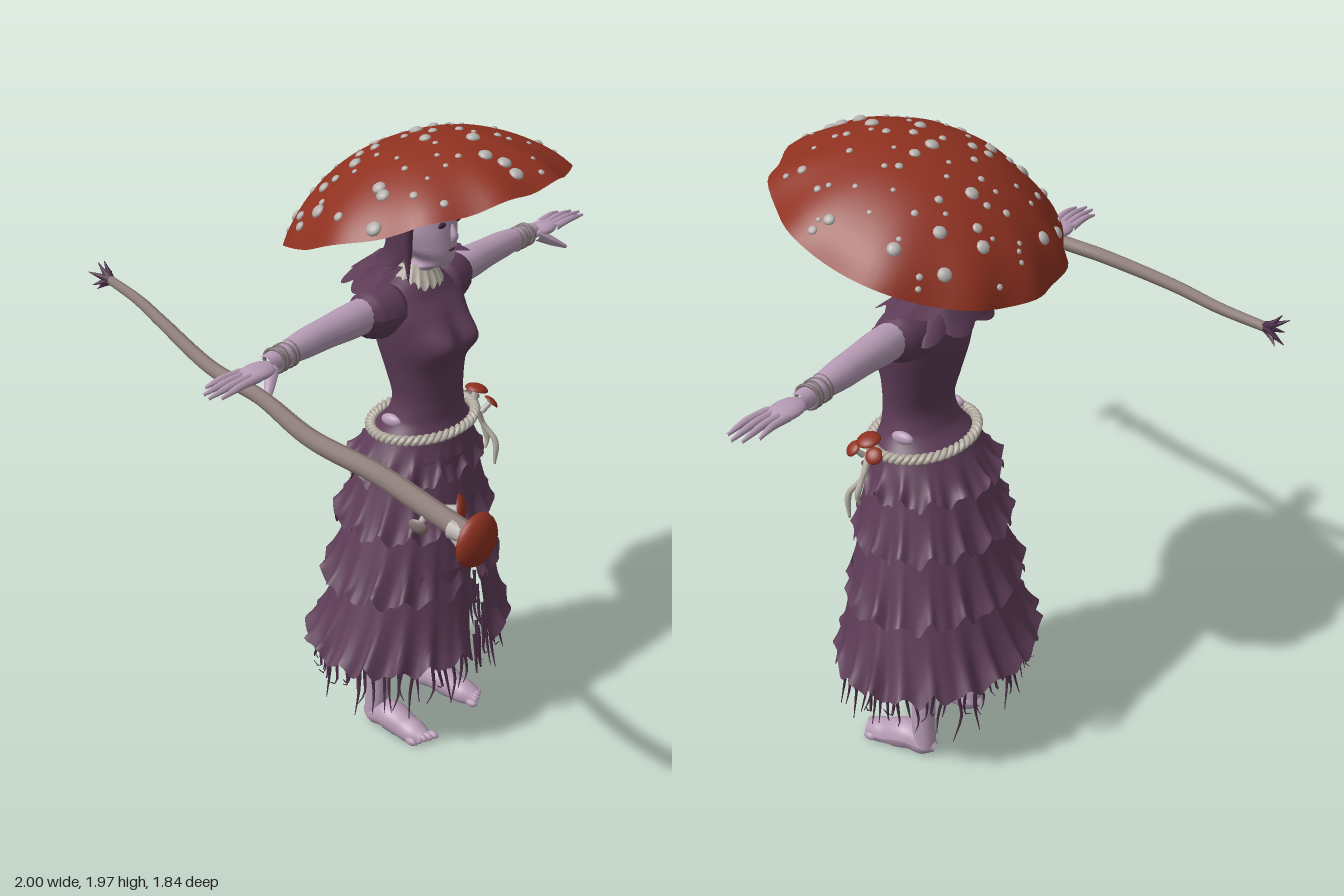
import * as THREE from 'three';
import { mergeGeometries, mergeVertices } from 'three/addons/utils/BufferGeometryUtils.js';

const CX = 0.105; // the figure's own centre line
const TAU = Math.PI * 2;
const V = (x, y, z) => new THREE.Vector3(x, y, z);
const lerp = THREE.MathUtils.lerp;
const mat = (name, color, side = THREE.FrontSide) => {
  const m = new THREE.MeshStandardMaterial({ color, side });
  m.name = name;
  return m;
};

// Grid surface from f(u, v); u runs around, v from bottom to top
function surface(f, nu, nv) {
  const pos = [], idx = [];
  for (let j = 0; j <= nv; j++) for (let i = 0; i <= nu; i++) pos.push(...f(i / nu, j / nv));
  for (let j = 0; j < nv; j++) for (let i = 0; i < nu; i++) {
    const a = j * (nu + 1) + i, b = a + nu + 1;
    idx.push(a, a + 1, b + 1, a, b + 1, b);
  }
  let g = new THREE.BufferGeometry();
  g.setAttribute('position', new THREE.Float32BufferAttribute(pos, 3));
  g.setIndex(idx);
  g = mergeVertices(g, 1e-5);
  g.computeVertexNormals();
  return g;
}

// Smooth upright body through rows of [y, centre z, half width, half depth], optionally open at the front
function loft(rows, { nu = 32, nv = 28, gap = 0, bump = () => 0 } = {}) {
  const centre = new THREE.CatmullRomCurve3(rows.map(r => V(0, r[0], r[1])));
  const size = new THREE.CatmullRomCurve3(rows.map(r => V(r[2], r[3], 0)));
  return surface((u, v) => {
    const a = lerp(gap, TAU - gap, u), c = centre.getPoint(v), s = size.getPoint(v);
    const x = Math.sin(a) * s.x;
    return [CX + x, c.y, c.z + Math.cos(a) * s.y + (Math.cos(a) > 0 ? bump(x, c.y) : 0)];
  }, nu, nv);
}

// Tube along points whose radius follows a list
function taper(points, radii, segs = 16, sides = 12) {
  const curve = new THREE.CatmullRomCurve3(points);
  const g = new THREE.TubeGeometry(curve, segs, 1, sides, false);
  const p = g.attributes.position, q = V();
  for (let i = 0; i < p.count; i++) {
    const t = Math.floor(i / (sides + 1)) / segs, c = curve.getPointAt(t);
    const k = t * (radii.length - 1), n = Math.min(Math.floor(k), radii.length - 2);
    q.fromBufferAttribute(p, i).sub(c).multiplyScalar(lerp(radii[n], radii[n + 1], k - n)).add(c);
    p.setXYZ(i, q.x, q.y, q.z);
  }
  g.computeVertexNormals();
  return g;
}

const blob = (x, y, z, rx, ry, rz, n = 16) =>
  new THREE.SphereGeometry(1, n, Math.max(6, n / 2)).scale(rx, ry, rz).translate(x, y, z);

export function createModel() {
  const root = new THREE.Group();
  let seed = 7;
  const rnd = () => (seed = (seed * 16807) % 2147483647) / 2147483647;

  const red = mat('capRed', 0x8f3120), pale = mat('paleGrey', 0xb4afac, THREE.DoubleSide);
  const dress = mat('dressPurple', 0x5f3d58, THREE.DoubleSide), hair = mat('hairPurple', 0x563650, THREE.DoubleSide);
  const skin = mat('lilacSkin', 0xb79cb6), rope = mat('ropeCream', 0xbab3a8, THREE.DoubleSide);
  const wood = mat('staffWood', 0x8b7b77), band = mat('bandGrey', 0x7b7071), dark = mat('darkPlum', 0x4a2d46);

  const add = (name, geo, m, parent = root) => {
    const mesh = new THREE.Mesh(Array.isArray(geo) ? mergeGeometries(geo) : geo, m);
    mesh.name = name;
    parent.add(mesh);
    return mesh;
  };

  // Wide wavy mushroom hat with a turned-down lip, tipped backwards
  const hat = new THREE.Group();
  hat.name = 'mushroomHat';
  hat.position.set(0.112, 1.745, -0.022);
  hat.rotation.x = -0.323;
  root.add(hat);
  const dome = (a, t, h) => {
    const wave = t ** 4 * Math.sin(a * 11 + Math.sin(a * 2));
    const r = t * (0.418 + 0.007 * wave);
    return [Math.sin(a) * r, h * (1 - t ** 2.3) + 0.005 * wave - 0.02 * t ** 14, Math.cos(a) * r];
  };
  add('hatTop', surface((u, v) => dome(u * TAU, 1 - v, 0.19), 88, 24), red, hat);
  add('hatUnderside', surface((u, v) => dome(-u * TAU, 1 - v, 0.085), 88, 20), pale, hat);
  const spots = [];
  for (let i = 0; i < 84; i++) {
    const t = Math.sqrt((i + 0.5) / 84) * 0.96, [x, y, z] = dome(i * 2.4 + rnd() * 0.6, t, 0.19);
    const r = 0.007 + 0.016 * rnd() ** 2, slope = 0.19 * 2.3 * t ** 1.3 / 0.418;
    const n = V(x / (t * 0.418) * slope, 1, z / (t * 0.418) * slope).normalize();
    const g = blob(0, 0, 0, r, r * 0.6, r, 10);
    g.applyQuaternion(new THREE.Quaternion().setFromUnitVectors(V(0, 1, 0), n));
    spots.push(g.translate(x, y, z));
  }
  add('hatSpots', spots, pale, hat);

  // Head, face and hair
  add('head', loft([[1.46, -0.05, 0.05, 0.05], [1.54, -0.035, 0.045, 0.045], [1.57, 0.012, 0.036, 0.06],
    [1.61, 0.003, 0.064, 0.08], [1.67, -0.004, 0.08, 0.086], [1.73, -0.01, 0.082, 0.088], [1.81, -0.025, 0.074, 0.08]]), skin);
  add('nose', taper([V(CX, 1.7, 0.07), V(CX, 1.67, 0.083), V(CX, 1.648, 0.086), V(CX, 1.64, 0.075)], [0.005, 0.009, 0.013, 0.006]), skin);
  add('lips', blob(CX, 1.617, 0.078, 0.018, 0.007, 0.007), hair);
  for (const s of [-1, 1]) {
    add('eye', blob(CX + s * 0.035, 1.695, 0.071, 0.021, 0.009, 0.006), dark);
    add('brow', taper([V(CX + s * 0.012, 1.715, 0.077), V(CX + s * 0.035, 1.728, 0.071), V(CX + s * 0.062, 1.728, 0.048)],
      [0.006, 0.008, 0.004], 10, 6), hair);
    add('sideLock', taper([V(CX + s * 0.082, 1.79, 0.015), V(CX + s * 0.092, 1.7, -0.005), V(CX + s * 0.09, 1.6, -0.01),
      V(CX + s * 0.1, 1.53, 0)], [0.012, 0.016, 0.014, 0.002]), hair);
  }
  add('hairVeil', loft([[1.47, -0.115, 0.125, 0.1], [1.54, -0.09, 0.105, 0.09], [1.6, -0.045, 0.095, 0.09],
    [1.7, -0.035, 0.096, 0.1], [1.84, -0.03, 0.1, 0.105]], { gap: 1.25 }), hair);
  add('headband', new THREE.TorusGeometry(0.094, 0.011, 8, 40).scale(1, 1, 1.5).rotateX(Math.PI / 2).translate(CX, 1.78, -0.024), rope);

  // Toothed collar
  add('collar', surface((u, v) => {
    const a = u * TAU, r = lerp(0.088, 0.055, v), tooth = (1 - v) * 0.018 * Math.abs(Math.sin(a * 9));
    return [CX + Math.sin(a) * r, lerp(1.505, 1.56, v) - tooth, -0.05 + Math.cos(a) * r * 0.9];
  }, 108, 4), rope);

  // Bodice, with bare skin at the sides of the waist
  add('bodice', loft([[1.04, -0.025, 0.175, 0.14], [1.1, -0.008, 0.137, 0.102], [1.16, -0.002, 0.127, 0.092],
    [1.25, -0.012, 0.142, 0.103], [1.34, -0.022, 0.165, 0.116], [1.42, -0.04, 0.178, 0.106],
    [1.48, -0.06, 0.15, 0.085], [1.53, -0.06, 0.062, 0.062]], {
    nu: 56, nv: 48,
    bump: (x, y) => 0.047 * Math.exp(-(((Math.abs(x) - 0.065) / 0.05) ** 2) - ((y - 1.345) / 0.055) ** 2),
  }), dress);
  add('bareWaist', [-1, 1].map(s => blob(CX + s * 0.135, 1.097, -0.035, 0.016, 0.02, 0.036)), skin);

  // Scalloped shoulder cape in layers, open at the front: [reach, top y, hem y, opening]
  for (const [k, top, low, open] of [[1, 1.55, 1.515, 1.05], [0.8, 1.56, 1.535, 1.2], [0.92, 1.53, 1.425, 2.1]])
    add('shoulderCape', surface((u, v) => {
      const a = lerp(open, TAU - open, u), s = 1 - v, w = Math.abs(Math.sin(a * 5));
      const r = 1 + s * 0.16 * (w - 0.5);
      return [CX + Math.sin(a) * lerp(0.06, 0.235 * k, s) * r, lerp(top, low, s ** 2) + s * 0.018 * (1 - w) + s * s * 0.01,
        -0.075 + Math.cos(a) * lerp(0.05, 0.135 * k, s) * r];
    }, 90, 8), dress);

  // Sleeves, arms, hands and bracelets
  for (const s of [-1, 1]) {
    const P = (d, y, z) => V(CX + s * d, y, z);
    add('sleeve', taper([P(0.09, 1.44, -0.06), P(0.17, 1.445, -0.063), P(0.25, 1.45, -0.065), P(0.252, 1.45, -0.065)],
      [0.06, 0.083, 0.078, 0.068, 0.045], 20, 20), dress);
    add('arm', taper([P(0.2, 1.452, -0.065), P(0.33, 1.455, -0.066), P(0.46, 1.455, -0.068), P(0.65, 1.45, -0.066)],
      [0.052, 0.051, 0.045, 0.042, 0.033, 0.026], 24, 16), skin);
    const hand = [blob(CX + s * 0.69, 1.448, -0.06, 0.07, 0.019, 0.042)];
    for (let i = 0; i < 4; i++) {
      const z = -0.09 + i * 0.021, tip = [0.85, 0.885, 0.895, 0.875][i];
      hand.push(taper([P(0.72, 1.45, z), P(0.8, 1.456, z * 1.15 + 0.01), P(tip, 1.45, z * 1.25 + 0.014)], [0.012, 0.0105, 0.009, 0.004], 10, 8));
    }
    hand.push(taper([P(0.645, 1.443, -0.045), P(0.69, 1.415, -0.018), P(0.735, 1.388, 0.008)], [0.02, 0.015, 0.006], 10, 8));
    add('hand', hand, skin);
    add('bracelets', [0, 1, 2, 3].map(i => new THREE.TorusGeometry(0.033, 0.0055, 6, 20)
      .rotateY(Math.PI / 2 + (i % 2 ? 0.15 : -0.1)).translate(CX + s * (0.545 + i * 0.021), 1.45, -0.067)), band);

    // Legs and bare feet
    const L = (d, y, z) => V(CX + s * d, y, z);
    add('leg', taper([L(0.135, 0.03, -0.105), L(0.133, 0.12, -0.1), L(0.13, 0.28, -0.1), L(0.11, 0.5, -0.06), L(0.095, 0.85, -0.04)],
      [0.037, 0.036, 0.049, 0.054, 0.06, 0.075], 24, 16), skin);
    const foot = taper([L(0.133, 0.03, -0.146), L(0.133, 0.035, -0.1), L(0.135, 0.045, -0.045), L(0.138, 0.022, 0.03), L(0.142, 0.012, 0.095)],
      [0.012, 0.04, 0.043, 0.05, 0.048, 0.044, 0.043, 0.03], 24, 16);
    const fp = foot.attributes.position;
    for (let i = 0; i < fp.count; i++) fp.setY(i, Math.max(0, fp.getY(i)));
    foot.computeVertexNormals();
    const toes = [0, 1, 2, 3, 4].map(i =>
      blob(CX + s * (0.109 + i * 0.018), 0.014, 0.103 - i * 0.008, i ? 0.01 : 0.014, 0.013, 0.022, 10));
    add('foot', [foot, ...toes], skin);
  }

  // Ruffled skirt tiers: [top y, half width, half depth, hem y, half width, half depth, hem centre z, slit]
  const tiers = [[1.06, 0.17, 0.135, 0.945, 0.228, 0.186, -0.045, 0], [0.99, 0.19, 0.155, 0.775, 0.258, 0.216, -0.045, 0],
    [0.84, 0.22, 0.18, 0.575, 0.303, 0.238, -0.055, 1], [0.64, 0.26, 0.205, 0.355, 0.352, 0.28, -0.065, 1]];
  tiers.forEach(([y0, x0, z0, y1, x1, z1, cz, slit], k) => add('skirtTier', surface((u, v) => {
    const s = 1 - v, base = lerp(y0, y1, s), rx = lerp(x0, x1, s ** 1.25), rz = lerp(z0, z1, s ** 1.25);
    const gap = slit * Math.asin(Math.max(0, 0.77 - base) * 0.13 / rx), a = lerp(gap, TAU - gap, u);
    const n = 7 + k, scallop = Math.abs(Math.sin(a * n + k)), fold = Math.sin(a * (2 * n + 5) + k * 2);
    const r = 1 + s * s * (0.05 * (0.5 - scallop) + 0.02 * fold) + 0.05 * s ** 8;
    const y = base - s ** 3 * (0.042 * scallop - 0.012 + 0.008 * Math.sin(a * 31));
    return [CX - 0.007 * s + Math.sin(a) * rx * r, y, lerp(-0.025, cz, s) + Math.cos(a) * rz * r];
  }, 180, 12), dress));

  // Sparse ragged fringe under the hem
  const fringe = [];
  for (let i = 0; i < 68; i++) {
    const a = (i + rnd()) / 68 * TAU, k = 0.78 + rnd() * 0.16, end = 0.14 + rnd() * 0.14;
    const at = (y, m, w) => V(CX - 0.005 + Math.sin(a + w) * 0.35 * m, y, -0.065 + Math.cos(a + w) * 0.28 * m);
    fringe.push(taper([at(0.38, k - 0.02, 0), at(0.31, k, 0.04 * (rnd() - 0.5)), at(0.24, k + 0.02, 0.1 * (rnd() - 0.5)),
      at(end, k + 0.07, 0.18 * (rnd() - 0.5))], [0.006, 0.006, 0.0045, 0.001], 8, 5));
  }
  add('fringe', fringe, dark);

  // Twisted rope belt with two hanging ends
  const strands = [0, Math.PI].map(ph => {
    const pts = Array.from({ length: 192 }, (_, i) => {
      const a = i / 192 * TAU, t = a * 24 + ph, r = 0.008 * Math.cos(t);
      return V(0.112 + Math.sin(a) * (0.188 + r), 1.06 + 0.008 * Math.sin(t), -0.025 + Math.cos(a) * (0.138 + r));
    });
    return new THREE.TubeGeometry(new THREE.CatmullRomCurve3(pts, true), 384, 0.009, 6, true);
  });
  add('ropeBelt', strands, rope);
  add('ropeEnds', [[0.335, 0.84, 0.09], [0.325, 0.89, 0.06]].map(([x, y, z]) =>
    taper([V(0.29, 1.06, 0.045), V(0.32, 0.98, 0.05), V(0.335, 0.92, z), V(x, y, z)], [0.009, 0.009, 0.008, 0.01, 0.004])), rope);

  // Small mushroom whose cap sits at p and faces along d
  const mushroom = (name, p, d, r, stem, cap = red) => {
    const g = new THREE.Group();
    g.name = name;
    g.position.copy(p);
    g.quaternion.setFromUnitVectors(V(0, 1, 0), d.normalize());
    add('cap', new THREE.SphereGeometry(r, 24, 8, 0, TAU, 0, Math.PI / 2).scale(1, 0.5, 1), cap, g);
    add('capUnderside', new THREE.ConeGeometry(r, r * 0.2, 24).rotateX(Math.PI).translate(0, -r * 0.1, 0), pale, g);
    add('stem', new THREE.CylinderGeometry(r * 0.3, r * 0.36, stem, 12).translate(0, -stem / 2, 0), pale, g);
    root.add(g);
  };
  mushroom('beltMushroom', V(0.3, 1.095, 0.04), V(0.25, 1, 0.1), 0.036, 0.05);
  mushroom('beltMushroom', V(0.312, 1.06, 0.085), V(0.6, 0.7, 0.4), 0.026, 0.04);
  mushroom('beltMushroom', V(0.318, 1.062, 0.01), V(0.8, 0.7, -0.2), 0.026, 0.04);

  // Crooked staff with mushrooms in front and twigs behind
  add('staff', taper([V(-0.32, 1.435, -0.87), V(-0.375, 1.43, -0.7), V(-0.45, 1.425, -0.53), V(-0.57, 1.405, -0.23), V(-0.62, 1.4, -0.02),
    V(-0.73, 1.4, 0.245), V(-0.8, 1.412, 0.51), V(-0.88, 1.42, 0.73), V(-0.93, 1.425, 0.87)],
  [0.014, 0.017, 0.019, 0.021, 0.022, 0.025, 0.026, 0.028, 0.026], 60, 12), wood);
  mushroom('staffMushroom', V(-0.935, 1.423, 0.885), V(-0.12, 0, 1), 0.066, 0.07);
  mushroom('staffMushroom', V(-0.858, 1.433, 0.785), V(0.45, 0.1, 0.8), 0.035, 0.06);
  mushroom('staffMushroom', V(-0.918, 1.392, 0.715), V(-0.9, -0.4, 0.1), 0.025, 0.04, wood);
  mushroom('staffMushroom', V(-0.935, 1.375, 0.86), V(-0.1, -0.6, 0.8), 0.024, 0.05, pale);
  add('staffTwigs', Array.from({ length: 7 }, (_, i) => {
    const a = i / 7 * TAU, x = Math.cos(a), y = Math.sin(a);
    return taper([V(-0.325, 1.435, -0.855), V(-0.318 + x * 0.017, 1.436 + y * 0.017, -0.885),
      V(-0.314 + x * 0.043, 1.438 + y * 0.045, -0.91 - 0.012 * (i % 2))], [0.012, 0.008, 0.001], 8, 6);
  }), dark);

  return root;
}
